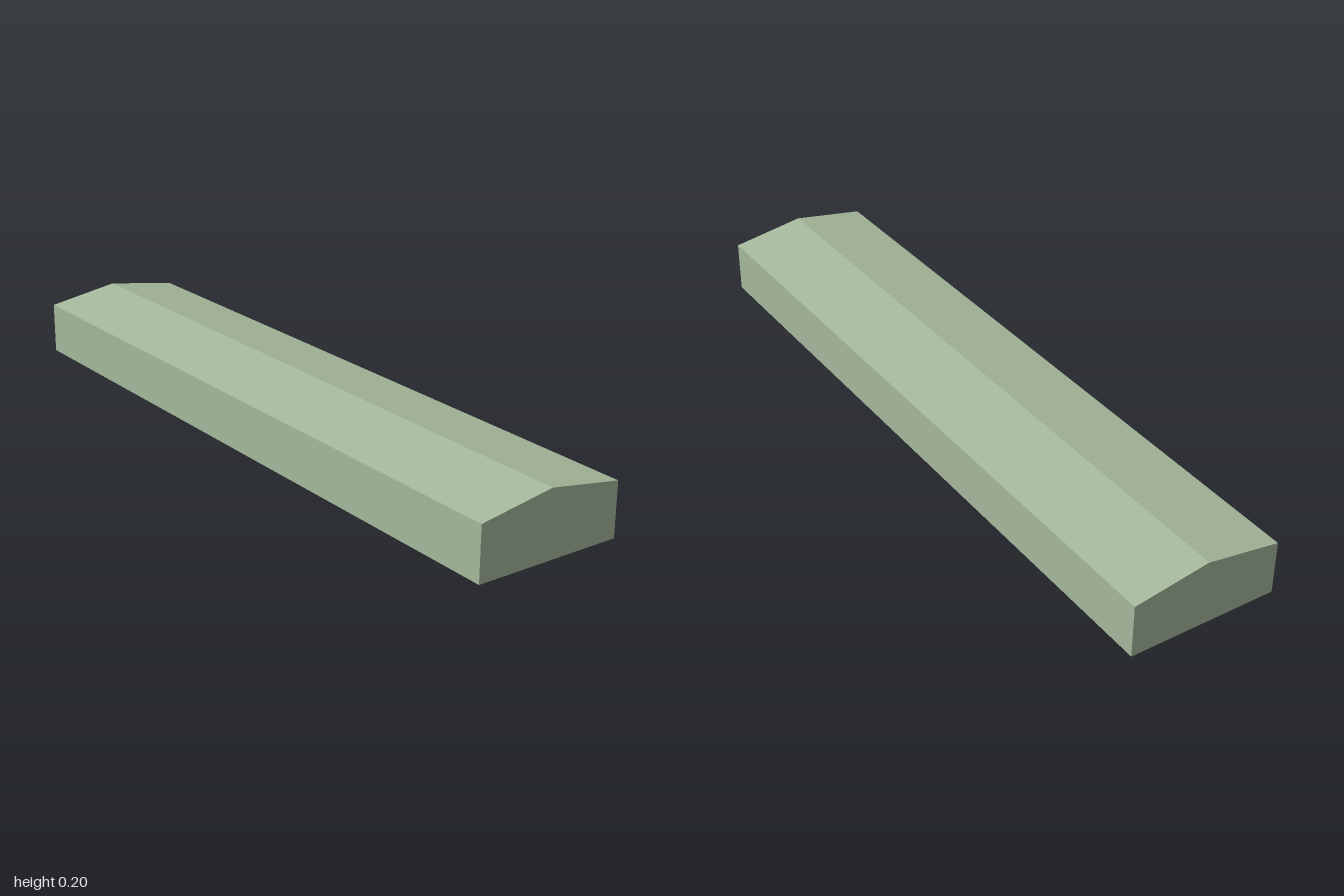
import * as THREE from 'three';

const material = new THREE.MeshStandardMaterial({ color: 0xa5b89c, flatShading: true });

function add(parent, name, geometry, x = 0, y = 0, z = 0) {
  const mesh = new THREE.Mesh(geometry, material);
  mesh.name = name;
  mesh.position.set(x, y, z);
  parent.add(mesh);
  return mesh;
}

function polygon(points, Type = THREE.Shape) {
  return new Type(points.map(([x, y]) => new THREE.Vector2(x, y)));
}

const rectangle = (w, h) => [[-w, -h], [w, -h], [w, h], [-w, h]];

// Box whose underside shrinks to the given size
function taperedBox(width, height, depth, bottomWidth, bottomDepth) {
  const geometry = new THREE.BoxGeometry(width, height, depth);
  const p = geometry.attributes.position;
  for (let i = 0; i < p.count; i++) {
    if (p.getY(i) < 0) {
      p.setX(i, Math.sign(p.getX(i)) * bottomWidth / 2);
      p.setZ(i, Math.sign(p.getZ(i)) * bottomDepth / 2);
    }
  }
  geometry.computeVertexNormals();
  return geometry;
}

export function createModel() {
  const model = new THREE.Group();
  model.name = 'ceilingLight';
  const bottom = 0.02, ceiling = 0.13, eave = 0.168, ridge = 0.202;

  // Pitched cover over the recess
  const roof = polygon([[-0.21, ceiling], [0.21, ceiling], [0.21, eave], [0, ridge], [-0.21, eave]]);
  add(model, 'pitchedCover', new THREE.ExtrudeGeometry(roof, { depth: 2, bevelEnabled: false }), 0, 0, -1);

  // Rim around the open underside
  const rim = polygon(rectangle(0.21, 1));
  rim.holes.push(polygon(rectangle(0.155, 0.9).reverse(), THREE.Path));
  const frame = new THREE.ExtrudeGeometry(rim, { depth: ceiling - bottom, bevelEnabled: false });
  frame.rotateX(-Math.PI / 2);
  add(model, 'housingFrame', frame, 0, bottom, 0);

  // Two lamps, each with a mounting rail and a holder at both ends
  for (const x of [-0.083, 0.095]) {
    const lamp = new THREE.Group();
    lamp.name = 'lamp';
    lamp.position.x = x;
    model.add(lamp);

    add(lamp, 'mountingRail', new THREE.BoxGeometry(0.07, 0.035, 1.5), 0, 0.1125, 0.025);
    const tube = new THREE.CylinderGeometry(0.021, 0.021, 1.5, 8);
    tube.rotateY(Math.PI / 8);
    tube.rotateX(Math.PI / 2);
    add(lamp, 'lampTube', tube, 0, 0.06, 0.025);

    for (const [z, depth, bottomDepth] of [[0.828, 0.108, 0.088], [-0.782, 0.12, 0.08]]) {
      add(lamp, 'lampHolder', new THREE.BoxGeometry(0.07, ceiling - bottom, depth), 0, (ceiling + bottom) / 2, z);
      add(lamp, 'holderFoot', taperedBox(0.07, bottom, depth, 0.058, bottomDepth), 0, bottom / 2, z);
    }
  }
  return model;
}
